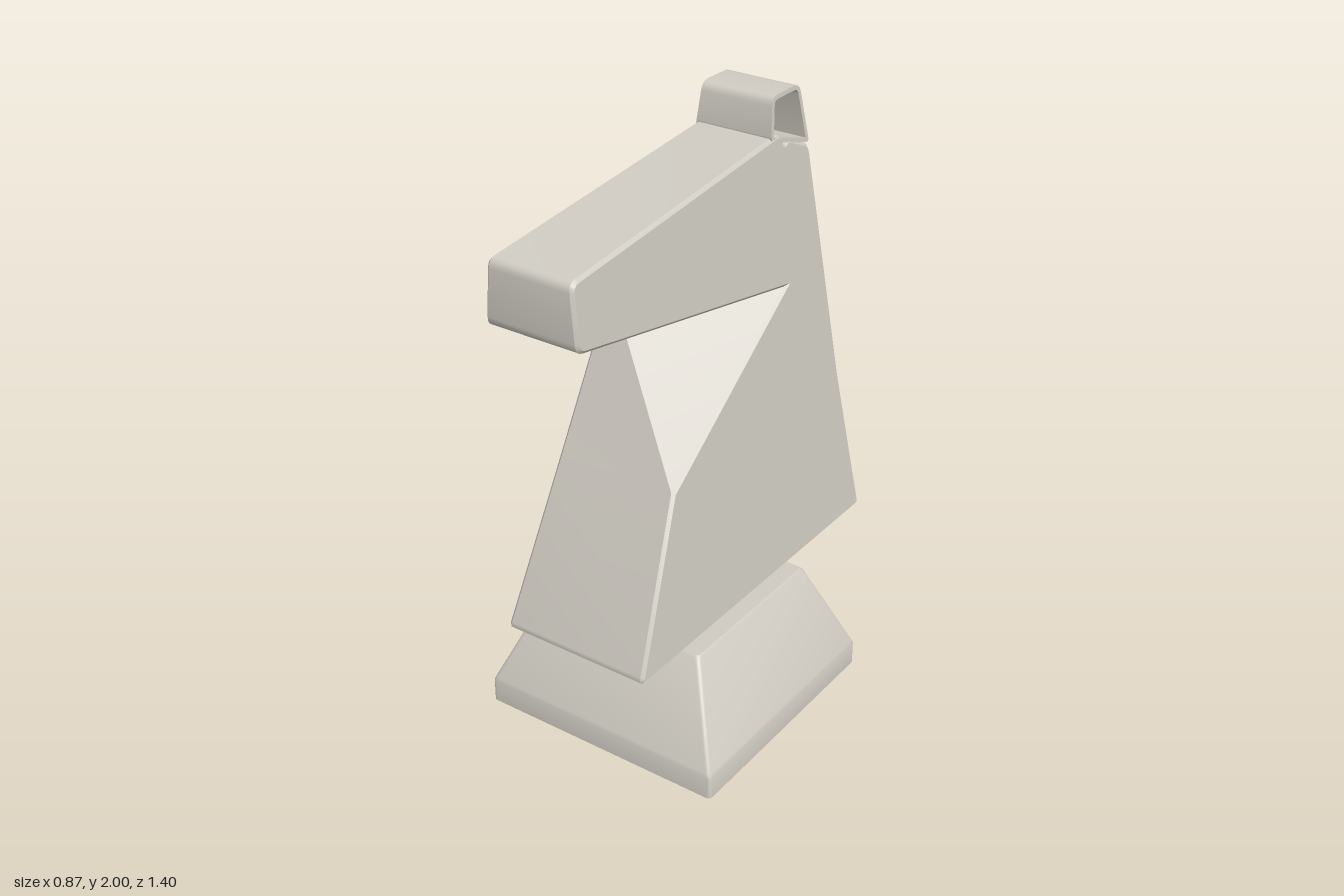
import * as THREE from 'three';
import { toCreasedNormals } from 'three/addons/utils/BufferGeometryUtils.js';

// Rounds the corners of a counter-clockwise outline of [u, v, radius].
function roundOutline(corners, steps = 4) {
  const out = [];
  corners.forEach(([u, v, r], i) => {
    const p = new THREE.Vector2(u, v);
    if (!r) { out.push(p); return; }
    const n = corners.length;
    const toward = (c) => new THREE.Vector2(c[0], c[1]).sub(p).setLength(r).add(p);
    const a = toward(corners[(i + n - 1) % n]);
    const b = toward(corners[(i + 1) % n]);
    out.push(...new THREE.QuadraticBezierCurve(a, p, b).getPoints(steps));
  });
  return out;
}

// Moves an outline inwards by d.
function inset(pts, d) {
  const n = pts.length;
  const normal = (a, b) => new THREE.Vector2(a.y - b.y, b.x - a.x).normalize();
  return pts.map((p, i) => {
    const n1 = normal(pts[(i + n - 1) % n], p);
    const n2 = normal(p, pts[(i + 1) % n]);
    const k = d / (1 + n1.dot(n2));
    return n1.add(n2).multiplyScalar(k).add(p);
  });
}

// Joins outlines of equal length into a closed solid; place(p, i) gives [x, y, z].
function loft(rings, place) {
  const n = rings[0].length;
  const last = rings.length - 1;
  const positions = [];
  const index = [];
  rings.forEach((ring, i) => ring.forEach((p) => positions.push(...place(p, i))));
  for (let i = 0; i < last; i++) {
    for (let j = 0; j < n; j++) {
      const k = (j + 1) % n;
      const a = i * n + j, b = i * n + k, c = b + n, d = a + n;
      index.push(a, b, c, a, c, d);
    }
  }
  for (const [a, b, c] of THREE.ShapeUtils.triangulateShape(rings[0], [])) index.push(c, b, a);
  for (const f of THREE.ShapeUtils.triangulateShape(rings[last], [])) index.push(...f.map((v) => v + last * n));
  const geo = new THREE.BufferGeometry();
  geo.setAttribute('position', new THREE.Float32BufferAttribute(positions, 3));
  geo.setIndex(index);
  return toCreasedNormals(geo, 0.6);
}

// Half the body's width, narrowing with height
const halfWidth = (y) => 0.26 - (y - 0.44) * 0.0855;

// Side outline of head and neck as (-z, y); the throat corner differs on each side
function bodyOutline(throat) {
  return roundOutline([
    [-0.57, 0.435, 0.025],
    [0.705, 0.435, 0.025],
    [0.6, 0.98, 0],
    [0.48, 1.8, 0.025],
    [0.365, 1.85, 0.01],
    [0.342, 1.838, 0.01],
    [0.325, 1.88, 0.025],
    [-0.7, 1.778, 0.03],
    [-0.7, 1.572, 0.03],
    [...throat, 0],
    [-0.337, 0.978, 0],
  ]);
}

export function createModel() {
  const model = new THREE.Group();
  const stone = new THREE.MeshStandardMaterial({ color: 0xcfcbc2 });
  stone.name = 'warm grey';
  const add = (name, geo) => {
    const mesh = new THREE.Mesh(geo, stone);
    mesh.name = name;
    model.add(mesh);
  };

  // Plinth: square foot with a tapered top
  const levels = [
    [0, 0.425, 0.425], [0.01, 0.435, 0.435], [0.09, 0.435, 0.435],
    [0.1, 0.431, 0.431], [0.407, 0.302, 0.307], [0.415, 0.294, 0.299],
  ];
  const plinthRings = levels.map(([, w, d]) => roundOutline([
    [-w, -d, 0.015], [w, -d, 0.015], [w, d, 0.015], [-w, d, 0.015],
  ]));
  add('plinth', loft(plinthRings, (p, i) => [p.x, levels[i][0], 0.025 - p.y]));

  // Head and neck: one bevelled slab, cut deeper under the jaw on the +x side
  const bevel = 0.01;
  const shallow = bodyOutline([-0.13, 1.472]);
  const deep = bodyOutline([0.31, 1.39]);
  const sides = [[-1, 0], [-1, bevel], [1, bevel], [1, 0]];
  add('headAndNeck', loft(
    [inset(shallow, bevel), shallow, deep, inset(deep, bevel)],
    (p, i) => [sides[i][0] * (halfWidth(p.y) - sides[i][1]), p.y, -p.x],
  ));

  // Ears: a hollow loop open to both sides
  const loop = roundOutline([
    [0.272, 1.866, 0.015], [0.48, 1.804, 0.02], [0.44, 2, 0.03], [0.29, 2, 0.03],
  ]);
  const shape = new THREE.Shape(loop);
  shape.holes.push(new THREE.Path(inset(loop, 0.014)));
  const ear = new THREE.ExtrudeGeometry(shape, { depth: 2, bevelEnabled: false });
  const pos = ear.attributes.position;
  for (let i = 0; i < pos.count; i++) {
    const y = pos.getY(i);
    pos.setXYZ(i, (pos.getZ(i) - 1) * halfWidth(y) * 0.985, y, -pos.getX(i));
  }
  add('earLoop', toCreasedNormals(ear, 0.6));

  return model;
}
